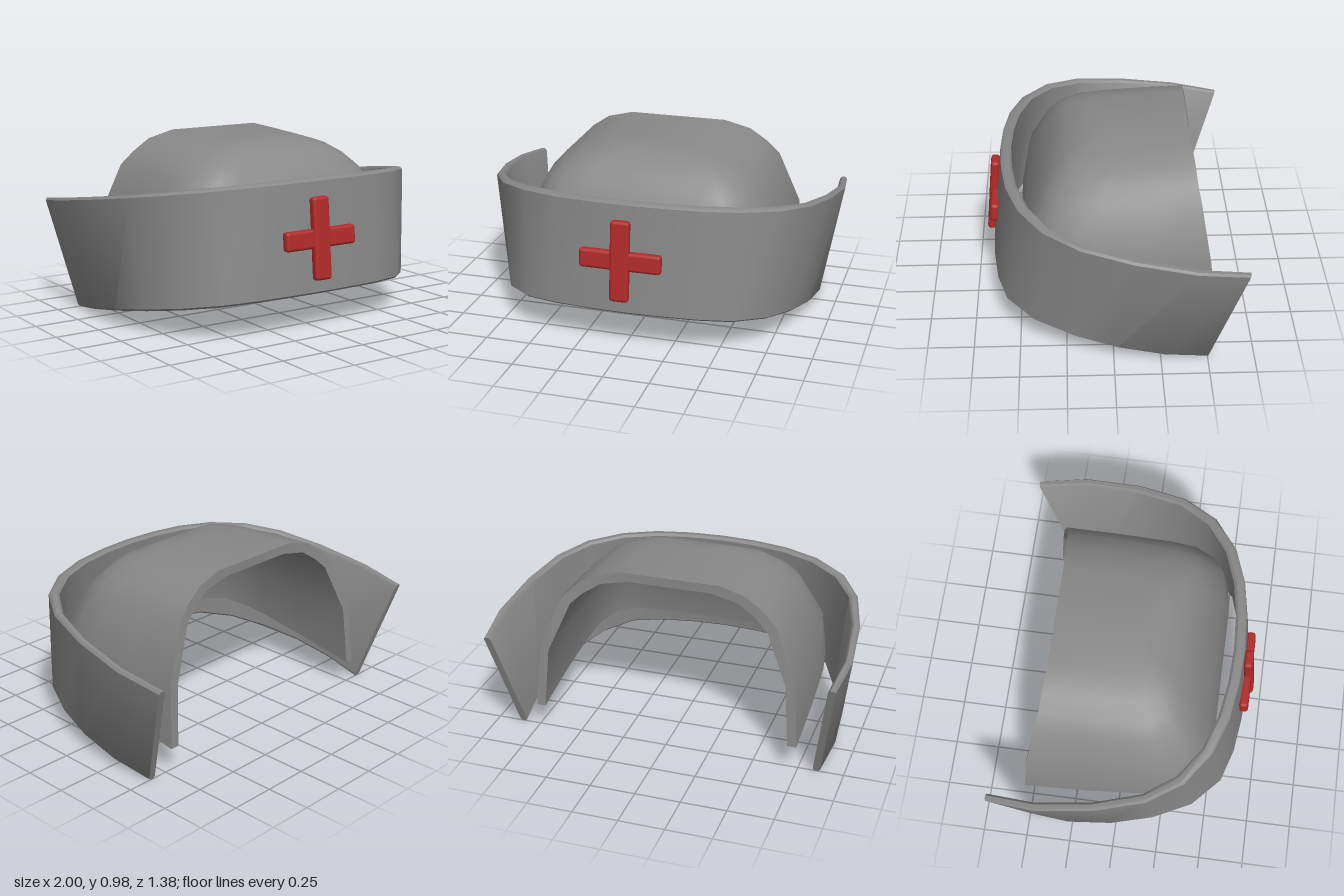
import * as THREE from 'three';
import { toCreasedNormals } from 'three/addons/utils/BufferGeometryUtils.js';
import { RoundedBoxGeometry } from 'three/addons/geometries/RoundedBoxGeometry.js';

const lerp = THREE.MathUtils.lerp;
const fabric = new THREE.MeshStandardMaterial({ color: 0x888888, side: THREE.DoubleSide });
const red = new THREE.MeshStandardMaterial({ color: 0xb32a2a });

// Joins closed cross-section rings (outer side first, then inner side back) and caps both ends.
function sweep(rings) {
  const n = rings[0].length, last = rings.length - 1;
  const index = [];
  for (let i = 0; i < last; i++) {
    for (let k = 0; k < n; k++) {
      const a = i * n + k, b = i * n + (k + 1) % n;
      index.push(a, b, a + n, b, b + n, a + n);
    }
  }
  for (let k = 0; k < n / 2 - 1; k++) {
    const o = k, o2 = k + 1, p = n - 1 - k, p2 = n - 2 - k, e = last * n;
    index.push(o, p, o2, o2, p, p2);
    index.push(e + o, e + o2, e + p, e + o2, e + p2, e + p);
  }
  const geometry = new THREE.BufferGeometry();
  geometry.setFromPoints(rings.flat());
  geometry.setIndex(index);
  return toCreasedNormals(geometry, 0.7);
}

// Continues rings from the +x back to the front centre round to the -x back.
function mirrorRings(half) {
  const other = half.slice(0, -1).reverse();
  return [...half, ...other.map((ring) => ring.map((p) => new THREE.Vector3(-p.x, p.y, p.z)))];
}

// Upright front band: flared, tilted and open at the back.
function bandGeometry() {
  // top x, top z, bottom x, bottom z, inward x, inward z
  const path = [
    [0.97, -0.69, 0.87, -0.50, -0.04, 0],
    [1.00, -0.42, 0.90, -0.27, -0.045, 0],
    [0.97, -0.10, 0.885, -0.02, -0.045, -0.01],
    [0.90, 0.17, 0.83, 0.21, -0.045, -0.02],
    [0.78, 0.36, 0.735, 0.42, -0.04, -0.04],
    [0.60, 0.49, 0.58, 0.57, -0.025, -0.055],
    [0.40, 0.56, 0.40, 0.625, -0.015, -0.06],
    [0.20, 0.59, 0.20, 0.65, -0.005, -0.06],
    [0.00, 0.60, 0.00, 0.66, 0, -0.06],
  ];
  // height and depth fractions of the chamfered section
  const section = [[0.02, 0], [0.98, 0], [1, 0.25], [1, 0.75], [0.98, 1], [0.02, 1], [0, 0.75], [0, 0.25]];
  return sweep(mirrorRings(path.map(([tx, tz, bx, bz, ix, iz]) => {
    const top = new THREE.Vector3(tx, 0.81 - (0.60 - tz) * 0.155, tz);
    const bottom = new THREE.Vector3(bx, 0.2 - (0.66 - bz) * 0.172, bz);
    const inward = new THREE.Vector3(ix, 0, iz);
    return section.map(([h, d]) => bottom.clone().lerp(top, h).addScaledVector(inward, d));
  })));
}

// Domed crown: a thick shell, open at the back and below.
function crownGeometry() {
  // half width, front z, back z, back y, front y, inner drop
  const levels = [
    [0.745, 0.50, -0.54, 0.15, 0.33, 0],
    [0.72, 0.46, -0.515, 0.50, 0.57, 0.01],
    [0.60, 0.35, -0.465, 0.80, 0.79, 0.03],
    [0.53, 0.295, -0.45, 0.87, 0.855, 0.035],
    [0.43, 0.24, -0.44, 0.94, 0.91, 0.04],
    [0.28, 0.13, -0.43, 0.98, 0.96, 0.05],
    [0.00, 0.02, -0.43, 0.98, 0.972, 0.05],
  ];
  // U-shaped plan, as fractions of half width and length
  const plan = [[1, 0], [1, 0.35], [0.985, 0.65], [0.955, 0.8], [0.87, 0.92], [0.75, 0.98], [0.54, 1], [0, 1]];
  const wall = 0.05;
  return sweep(mirrorRings(plan.map(([px, pz]) => {
    const outer = levels.map(([w, f, b, yb, yf]) =>
      new THREE.Vector3(px * w, lerp(yb, yf, pz), lerp(b, f, pz)));
    const inner = levels.map(([w, f, b, yb, yf, drop]) =>
      new THREE.Vector3(px * Math.max(w - wall, 0), lerp(yb, yf, pz) - drop, lerp(b, f - wall, pz)));
    return [...outer, ...inner.reverse()];
  })));
}

export function createModel() {
  const group = new THREE.Group();
  const add = (name, geometry, material) => {
    const mesh = new THREE.Mesh(geometry, material);
    mesh.name = name;
    group.add(mesh);
    return mesh;
  };

  add('frontBand', bandGeometry(), fabric);
  add('crown', crownGeometry(), fabric);

  // Raised cross, leaning back with the band
  const bars = [
    ['crossUpright', 0.105, 0.445, 0.05, 0.65],
    ['crossBar', 0.45, 0.105, 0.05, 0.64],
  ];
  for (const [name, w, h, d, z] of bars) {
    const bar = add(name, new RoundedBoxGeometry(w, h, d, 2, 0.018), red);
    bar.position.set(-0.015, 0.5, z);
    bar.rotation.x = -0.085;
  }
  return group;
}
